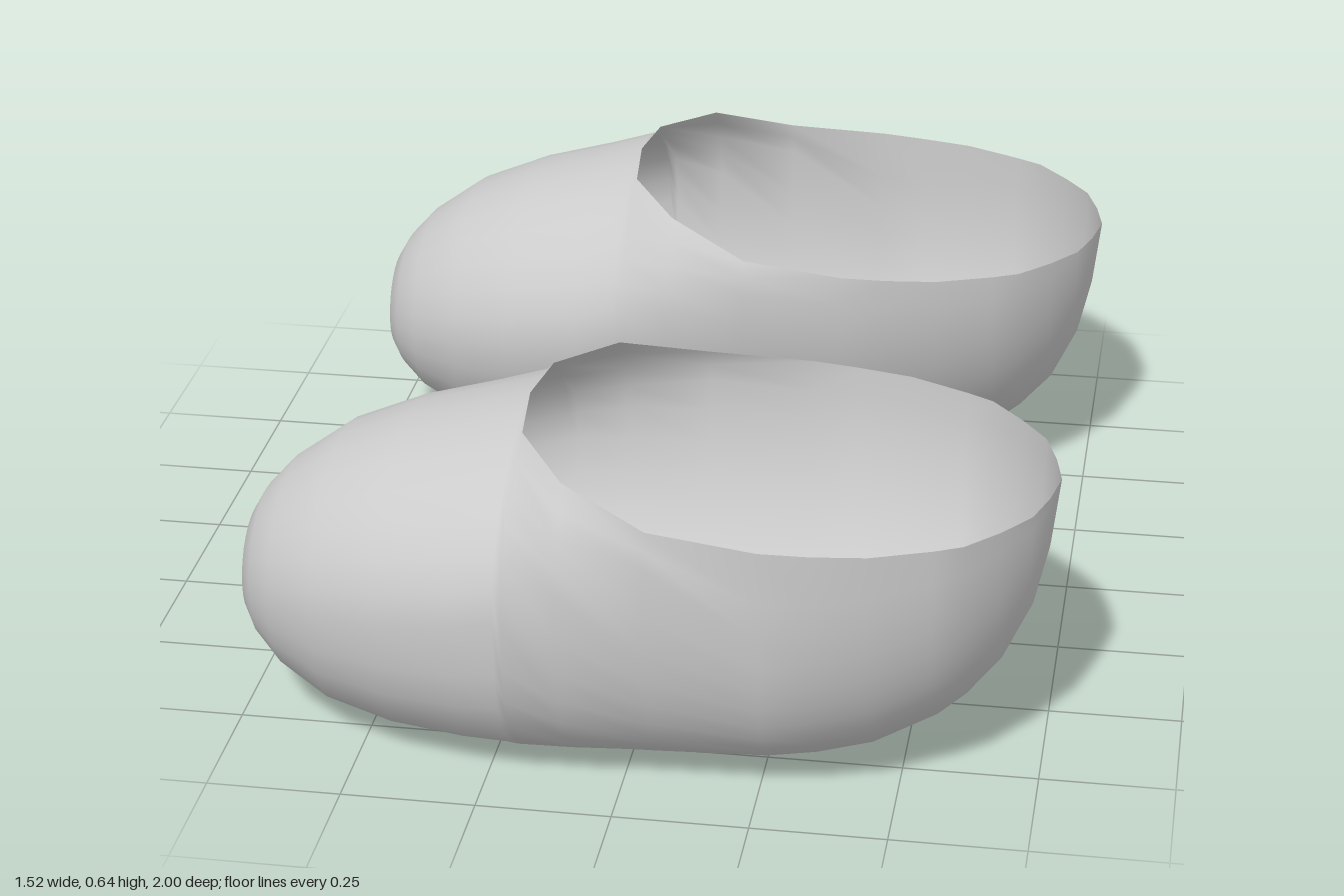
import * as THREE from 'three';
import { mergeVertices } from 'three/addons/utils/BufferGeometryUtils.js';

// Cross-sections from toe to heel:
// x, bottom y, top or rim y, y of widest line, half width, opening width / full width
const sections = [
  [-0.762, 0.25, 0.25, 0.25, 0, 0],
  [-0.745, 0.165, 0.365, 0.26, 0.11, 0],
  [-0.72, 0.125, 0.41, 0.265, 0.155, 0],
  [-0.67, 0.08, 0.465, 0.28, 0.215, 0],
  [-0.57, 0.03, 0.535, 0.3, 0.285, 0],
  [-0.44, 0.007, 0.585, 0.32, 0.335, 0],
  [-0.3, 0, 0.62, 0.345, 0.365, 0],
  [-0.213, 0, 0.645, 0.37, 0.378, 0],
  [-0.198, 0, 0.637, 0.375, 0.38, 0.395],
  [-0.1, 0, 0.618, 0.43, 0.388, 0.773],
  [0.06, 0, 0.57, 0.5, 0.395, 0.962],
  [0.26, 0.008, 0.555, 0.555, 0.4, 1],
  [0.35, 0.02, 0.551, 0.551, 0.391, 1],
  [0.45, 0.042, 0.548, 0.548, 0.373, 1],
  [0.56, 0.09, 0.545, 0.545, 0.325, 1],
  [0.61, 0.13, 0.544, 0.544, 0.298, 1],
  [0.67, 0.195, 0.542, 0.542, 0.23, 1],
  [0.72, 0.3, 0.541, 0.541, 0.16, 1],
  [0.745, 0.41, 0.54, 0.54, 0.08, 1],
  [0.76, 0.54, 0.54, 0.54, 0, 1],
];
const SEG = 28;

// Open shell: each section runs from one rim edge, under the sole, to the other
function shoeGeometry(side) {
  const positions = [], index = [];
  for (const [x, bottom, top, mid, width, opening] of sections) {
    const start = Math.asin(opening);
    const rise = opening < 1 ? (top - mid) / Math.cos(start) : 0;
    const centre = x < 0.06 ? 0.608 : 0.6;
    // the outer wall is fuller than the inner one, most of all where the shoe is wide
    const full = 2 + 0.6 * (width / 0.4) ** 4;
    for (let j = 0; j <= SEG; j++) {
      const t = (2 * j) / SEG - 1;
      const angle = start + (Math.PI - start) * (1 - Math.abs(t));
      const s = Math.max(0, Math.sin(angle)), c = Math.cos(angle);
      let across = s, y = mid + rise * c, keel = 0;
      if (c < 0) {
        const n = t > 0 ? full : 2;
        const depth = Math.pow(-c, 2 / n);
        across = Math.pow(s, 2 / n);
        y = mid - (mid - bottom) * depth;
        keel = 0.05 * width * depth * depth;
      }
      const z = centre + keel + Math.sign(t) * across * width;
      positions.push(x, y, side * z);
    }
  }
  const row = SEG + 1;
  for (let i = 0; i < sections.length - 1; i++) {
    for (let j = 0; j < SEG; j++) {
      const a = i * row + j, b = a + row;
      if (side > 0) index.push(a, b, a + 1, b, b + 1, a + 1);
      else index.push(a, a + 1, b, b, a + 1, b + 1);
    }
  }
  const geometry = new THREE.BufferGeometry();
  geometry.setAttribute('position', new THREE.Float32BufferAttribute(positions, 3));
  geometry.setIndex(index);
  // weld the seam along the top of the toe
  const welded = mergeVertices(geometry, 1e-4);
  welded.computeVertexNormals();
  return welded;
}

export function createModel() {
  const group = new THREE.Group();
  group.name = 'pairOfSlippers';
  const material = new THREE.MeshStandardMaterial({ color: 0xcccccc, side: THREE.DoubleSide });
  // mirrored pair, toes pointing to -x
  for (const side of [1, -1]) {
    const shoe = new THREE.Mesh(shoeGeometry(side), material);
    shoe.name = side > 0 ? 'frontSlipper' : 'backSlipper';
    group.add(shoe);
  }
  return group;
}
